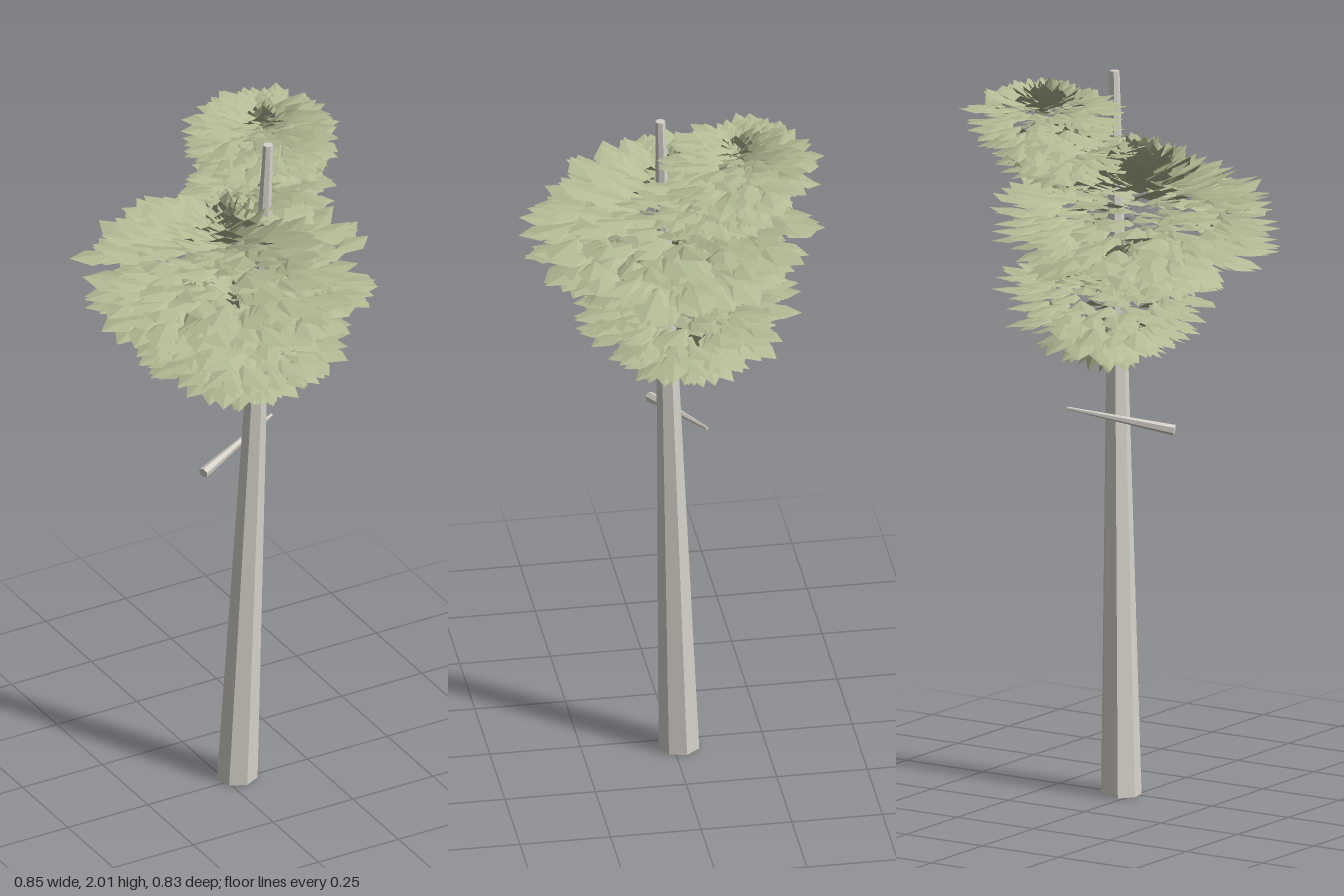
import * as THREE from 'three';

const bark = new THREE.MeshStandardMaterial({ color: 0xd6d2ca, flatShading: true });
bark.name = 'greyBark';
const leafGreen = new THREE.MeshStandardMaterial({ color: 0xb3ba94, flatShading: true, side: THREE.DoubleSide });
leafGreen.name = 'leafGreen';

const UP = new THREE.Vector3(0, 1, 0);

// Small seeded generator, so the foliage is the same every time
function seeded(seed) {
  let s = seed;
  return () => (s = (s * 16807) % 2147483647) / 2147483647;
}

// Tapered round limb between two points
function limb(name, from, to, rFrom, rTo, sides) {
  const a = new THREE.Vector3(...from);
  const b = new THREE.Vector3(...to);
  const mesh = new THREE.Mesh(new THREE.CylinderGeometry(rTo, rFrom, a.distanceTo(b), sides), bark);
  mesh.name = name;
  mesh.position.copy(a).lerp(b, 0.5);
  mesh.quaternion.setFromUnitVectors(UP, b.clone().sub(a).normalize());
  return mesh;
}

// Trunk with a sheared lean, so both ends stay level
function leaningTrunk() {
  const g = new THREE.CylinderGeometry(0.014, 0.057, 2, 7);
  g.translate(0, 1, 0);
  const p = g.attributes.position;
  for (let i = 0; i < p.count; i++) {
    const t = p.getY(i) / 2;
    p.setX(i, p.getX(i) + 0.038 + 0.062 * t);
    p.setZ(i, p.getZ(i) - 0.016 + 0.062 * t);
  }
  g.computeVertexNormals();
  const mesh = new THREE.Mesh(g, bark);
  mesh.name = 'trunk';
  return mesh;
}

// Leaves fanning outward from the centre of a spinning-top shape: they rise
// above its middle, droop below it and stand upright only at the poles
function leafCluster(name, { center, radius, up, down, count, size, seed }) {
  const rand = seeded(seed);
  const c = new THREE.Vector3(...center);
  const out = [];
  for (let i = 0; i < count; i++) {
    const h = 1 - (2 * (i + 0.5)) / count;
    const ang = i * 2.39996 + (rand() - 0.5) * 0.5;
    const ring = Math.pow(1 - h * h, h > 0 ? 1.2 : 0.65);
    const shell = 0.5 + Math.sqrt(rand()) * 0.5;
    const len = size * (0.85 + rand() * 0.35);
    const wide = len * 0.72;
    const reach = (radius - len * 0.5) * ring * shell;
    const lift = h * ((h > 0 ? up : down) - len * 0.35 * Math.abs(h)) * (0.8 + 0.2 * shell);

    // place in the crown, then aim outward with some sideways turn
    const pos = new THREE.Vector3(Math.cos(ang) * reach, lift, Math.sin(ang) * reach).add(c);
    const turn = ang + (rand() - 0.5) * 1.1;
    const tilt = Math.asin(h) * 0.5 + Math.pow(h, 5) * 0.5 + (rand() - 0.5) * 0.15;
    const dir = new THREE.Vector3(Math.cos(turn) * Math.cos(tilt), Math.sin(tilt), Math.sin(turn) * Math.cos(tilt));
    const side = new THREE.Vector3(-Math.sin(turn), 0, Math.cos(turn));
    const normal = side.clone().cross(dir).normalize();

    // kite-shaped leaf folded along its middle
    const at = (t, s, n) => pos.clone().addScaledVector(dir, t * len)
      .addScaledVector(side, s * wide).addScaledVector(normal, n * len).toArray();
    const base = at(-0.5, 0, 0.08);
    const tip = at(0.55, 0, 0.04);
    const [lowL, highL] = [at(-0.45, 0.25, 0), at(0.1, 0.5, 0)];
    const [lowR, highR] = [at(-0.45, -0.25, 0), at(0.1, -0.5, 0)];
    out.push(...base, ...highL, ...lowL, ...base, ...tip, ...highL);
    out.push(...base, ...lowR, ...highR, ...base, ...highR, ...tip);
  }
  const g = new THREE.BufferGeometry();
  g.setAttribute('position', new THREE.Float32BufferAttribute(out, 3));
  g.computeVertexNormals();
  const mesh = new THREE.Mesh(g, leafGreen);
  mesh.name = name;
  return mesh;
}

export function createModel() {
  const tree = new THREE.Group();
  tree.name = 'tree';

  tree.add(leaningTrunk());
  tree.add(limb('bareBranch', [-0.1, 1.022, 0.042], [0.178, 1.07, -0.07], 0.015, 0.004, 6));

  const clusters = {
    lowerFoliage: { center: [0.065, 1.42, -0.035], radius: 0.325, up: 0.12, down: 0.225, count: 380, size: 0.1, seed: 11 },
    middleFoliage: { center: [-0.01, 1.61, 0], radius: 0.425, up: 0.22, down: 0.22, count: 500, size: 0.12, seed: 29 },
    shoulderFoliage: { center: [0.15, 1.79, -0.09], radius: 0.225, up: 0.07, down: 0.1, count: 150, size: 0.095, seed: 41 },
    upperFoliage: { center: [0.195, 1.91, -0.155], radius: 0.235, up: 0.08, down: 0.17, count: 260, size: 0.09, seed: 53 },
  };
  for (const [name, options] of Object.entries(clusters)) tree.add(leafCluster(name, options));

  return tree;
}
